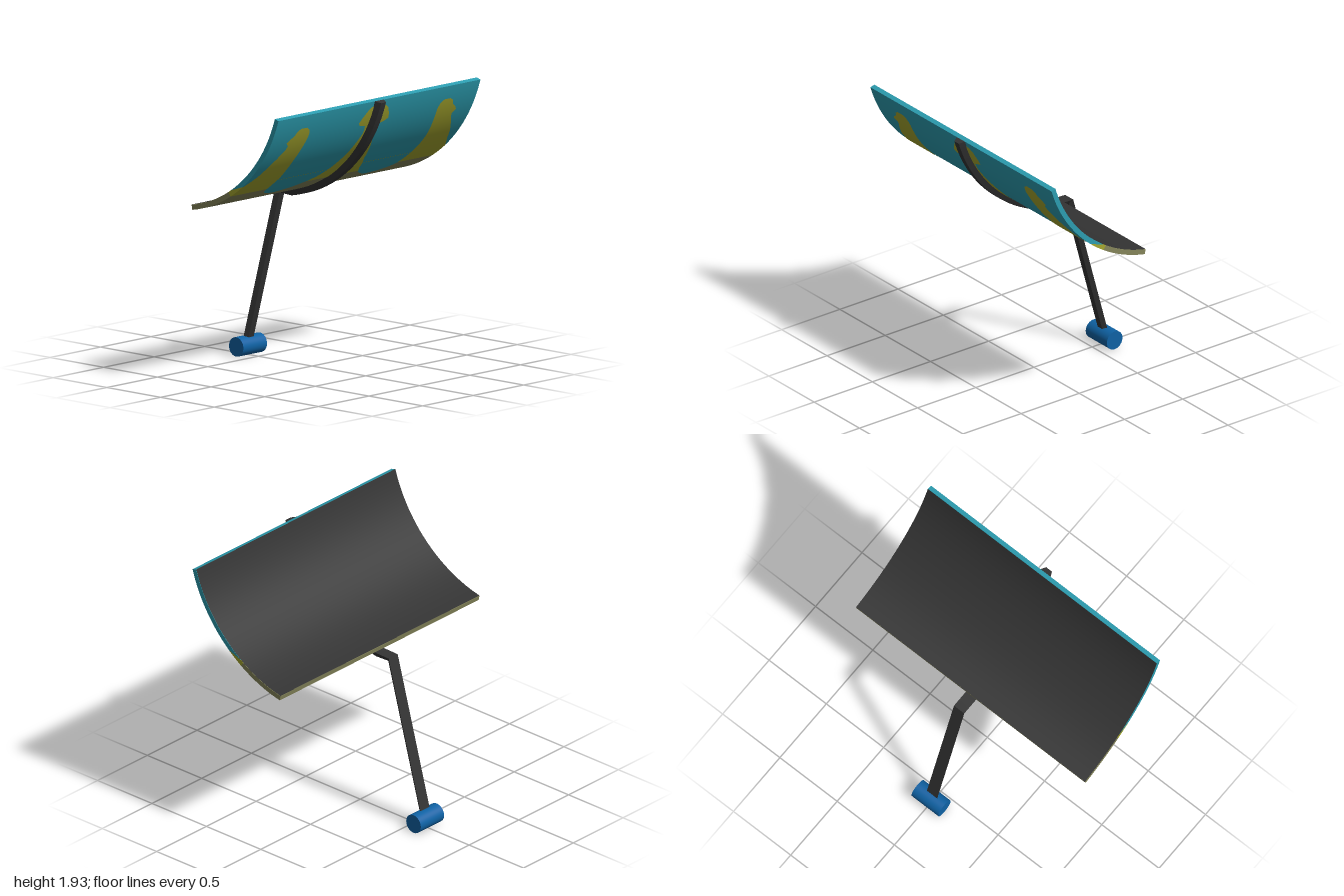
import * as THREE from 'three';
import { toCreasedNormals } from 'three/addons/utils/BufferGeometryUtils.js';

const CZ = -0.374, CY = 2.228;               // centre of the panel's arc in the z-y plane
const R_IN = 1.012, R_OUT = 1.047, R_RIB = 1.087;
const TOP = -17, END = -79;                  // arc limits in degrees

const mat = (name, color) => {
  const m = new THREE.MeshStandardMaterial({ color });
  m.name = name;
  return m;
};

// Point [z, y] on the arc
const onArc = (r, deg) => {
  const a = THREE.MathUtils.degToRad(deg);
  return [CZ + r * Math.cos(a), CY + r * Math.sin(a)];
};

function build(positions, index) {
  const g = new THREE.BufferGeometry();
  g.setAttribute('position', new THREE.Float32BufferAttribute(positions, 3));
  g.setIndex(index);
  return g;
}

// Curved slab across the full width, between outer and inner angle ranges
function slab(o0, o1, i0, i1) {
  const n = 32, pts = [];
  for (let i = 0; i <= n; i++) pts.push(onArc(R_OUT, o0 + (o1 - o0) * i / n));
  for (let i = n; i >= 0; i--) pts.push(onArc(R_IN, i0 + (i1 - i0) * i / n));
  const shape = new THREE.Shape(pts.map(p => new THREE.Vector2(...p)));
  const g = new THREE.ExtrudeGeometry(shape, { depth: 2, bevelEnabled: false });
  g.translate(0, 0, -1).rotateY(-Math.PI / 2);
  return toCreasedNormals(g, 0.5);
}

// Thin curved sheet from rows of [y, left x, right x], listed from the top down
function sheet(rows, r, sub = 4) {
  const pos = [], idx = [];
  const steps = (rows.length - 1) * sub;
  for (let s = 0; s <= steps; s++) {
    const i = Math.min(Math.floor(s / sub), rows.length - 2), t = s / sub - i;
    const [y, l, rt] = rows[i].map((v, k) => v + (rows[i + 1][k] - v) * t);
    const a = Math.asin((y - CY) / R_OUT);
    const z = CZ + r * Math.cos(a), h = CY + r * Math.sin(a);
    pos.push(l, h, z, rt, h, z);
    if (s < steps) {
      const k = s * 2;
      idx.push(k, k + 2, k + 1, k + 1, k + 2, k + 3);
    }
  }
  const g = build(pos, idx);
  g.computeVertexNormals();
  return g;
}

const mirrored = rows => rows.map(([y, l, r]) => [y, -r, -l]);

// Rib and arm: a trapezoid swept along stations of inner and outer [z, y]
function sweep(stations, wide, narrow) {
  const pos = [], idx = [];
  stations.forEach(([[iz, iy], [oz, oy]], s) => {
    pos.push(-wide, iy, iz, wide, iy, iz, narrow, oy, oz, -narrow, oy, oz);
    if (s === stations.length - 1) return;
    for (let k = 0; k < 4; k++) {
      const a = s * 4 + k, b = s * 4 + (k + 1) % 4;
      idx.push(a, b, a + 4, b, b + 4, a + 4);
    }
  });
  idx.push(0, 3, 2, 0, 2, 1);
  const e = (stations.length - 1) * 4;
  idx.push(e, e + 1, e + 2, e, e + 2, e + 3);
  return toCreasedNormals(build(pos, idx), 0.4);
}

export function createModel() {
  const group = new THREE.Group();
  const teal = mat('teal', 0x2c9db0);
  const yellow = mat('mustard', 0xa5a62e);
  const olive = mat('olive grey', 0x85855a);
  const dark = mat('charcoal', 0x333333);
  const blue = mat('blue', 0x0f62a4);
  const add = (name, geometry, material) => {
    const m = new THREE.Mesh(geometry, material);
    m.name = name;
    group.add(m);
    return m;
  };

  // Curved panel in three colour zones
  add('panelUpper', slab(TOP, -50.5, TOP, -56.6), teal);
  add('panelMiddle', slab(-50.5, -58, -56.6, -58), yellow);
  add('panelLower', slab(-58, END, -58, END), olive);

  // Dark lining on the hollow side; swapped sides turn it to face inward
  const yTop = onArc(R_OUT, TOP)[1], yEnd = onArc(R_OUT, END)[1];
  add('panelLining', sheet([[yTop, 1, -1], [yEnd, 1, -1]], R_IN - 0.002, 48), dark);

  // Teal field between the side shapes, with rounded dips below
  add('tealField', sheet([[1.42, -0.66, 0.66], [1.38, -0.655, 0.655], [1.34, -0.647, 0.647]],
    R_OUT + 0.0015), teal);
  const dip = [[1.34, -0.647, -0.257], [1.323, -0.635, -0.29], [1.305, -0.605, -0.335],
    [1.29, -0.56, -0.39], [1.28, -0.49, -0.44]];
  add('tealDipRight', sheet(dip, R_OUT + 0.0015), teal);
  add('tealDipLeft', sheet(mirrored(dip), R_OUT + 0.0015), teal);

  // Mustard side shapes
  const side = [[1.828, -0.74, -0.68], [1.81, -0.77, -0.652], [1.78, -0.785, -0.638],
    [1.755, -0.822, -0.637], [1.733, -0.838, -0.64], [1.71, -0.812, -0.643],
    [1.685, -0.818, -0.647], [1.63, -0.855, -0.657], [1.567, -0.898, -0.665],
    [1.497, -0.935, -0.665], [1.45, -0.975, -0.66], [1.42, -1, -0.66]];
  add('sideShapeRight', sheet(side, R_OUT + 0.003), yellow);
  add('sideShapeLeft', sheet(mirrored(side), R_OUT + 0.003), yellow);

  // Mustard central shape
  const centre = [[1.885, -0.06, 0.07], [1.86, -0.09, 0.107], [1.81, -0.128, 0.135],
    [1.775, -0.145, 0.145], [1.757, -0.128, 0.11], [1.745, -0.07, 0.07],
    [1.72, -0.062, 0.06], [1.69, -0.058, 0.062], [1.63, -0.075, 0.08],
    [1.55, -0.1, 0.115], [1.465, -0.14, 0.147], [1.42, -0.165, 0.185],
    [1.375, -0.205, 0.217], [1.34, -0.257, 0.262]];
  add('centreShape', sheet(centre, R_OUT + 0.003), yellow);

  // Rib along the outside of the panel, running on into the bent arm
  const stations = [];
  for (let i = 0; i <= 32; i++) {
    const a = TOP + (END - TOP) * i / 32;
    stations.push([onArc(R_OUT, a), onArc(R_RIB, a)]);
  }
  stations.push([[-0.303, 1.197], [-0.28, 1.166]]);
  stations.push([[-0.612, 0.07], [-0.582, 0.07]]);
  add('ribAndArm', sweep(stations, 0.045, 0.025), dark);

  // Pivot roller at the foot
  const roller = add('pivotRoller', new THREE.CylinderGeometry(0.067, 0.067, 0.234, 40), blue);
  roller.rotation.z = Math.PI / 2;
  roller.position.set(0.004, 0.067, -0.6);

  return group;
}
